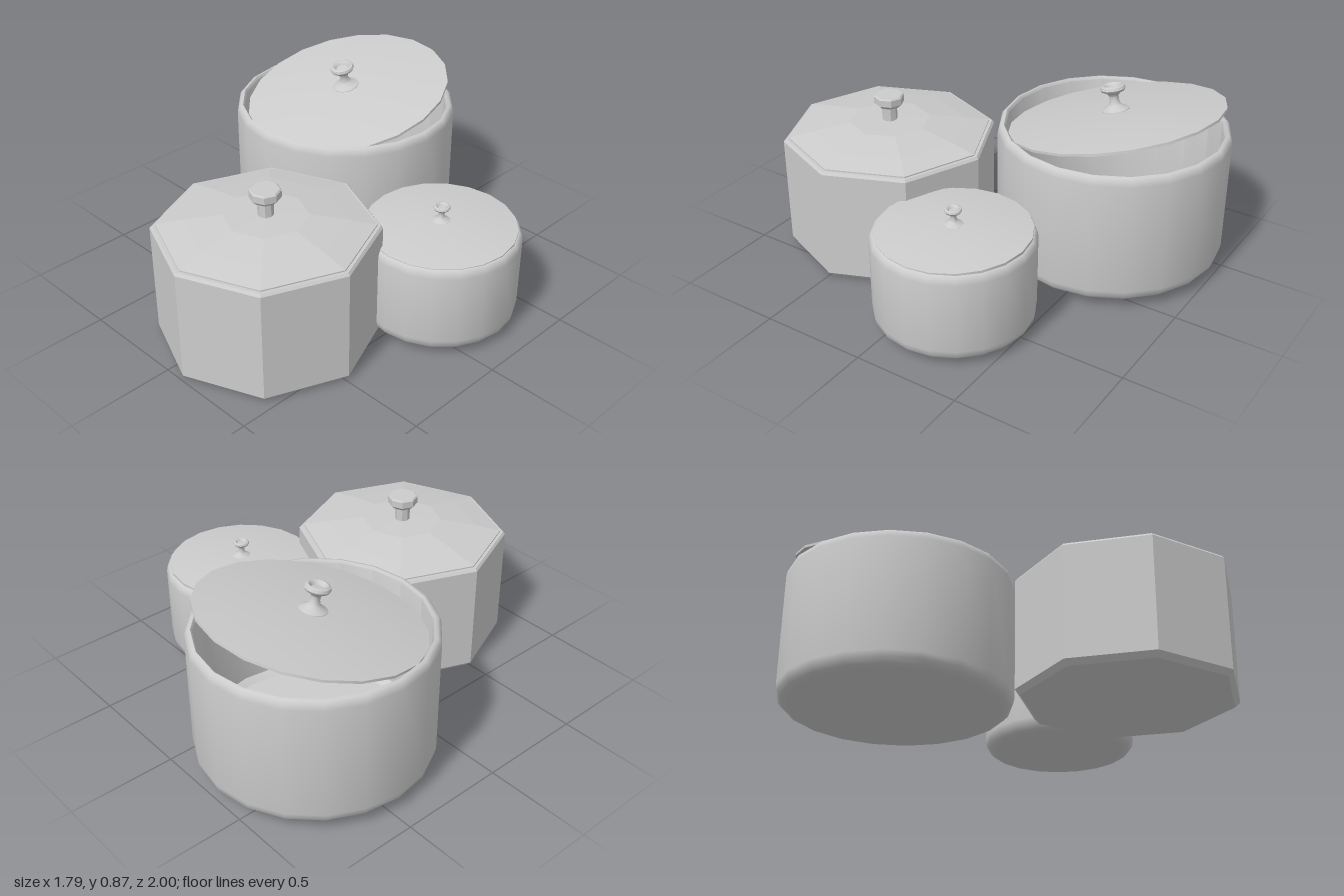
import * as THREE from 'three';
import { toCreasedNormals } from 'three/addons/utils/BufferGeometryUtils.js';

const smooth = new THREE.MeshStandardMaterial({ color: 0xcccccc });
const faceted = new THREE.MeshStandardMaterial({ color: 0xcccccc, flatShading: true });

// Turned part from [radius, height] pairs; sides = 8 gives the faceted style
function turned(name, profile, sides) {
  const points = profile.map(([r, y]) => new THREE.Vector2(r, y));
  let geometry = new THREE.LatheGeometry(points, sides);
  if (sides > 8) geometry = toCreasedNormals(geometry, 0.65);
  const mesh = new THREE.Mesh(geometry, sides > 8 ? smooth : faceted);
  mesh.name = name;
  return mesh;
}

// Hollow round pot with softened bottom and rim
function roundPot(name, r, y0, y1, wall) {
  return turned(name, [
    [0, y0], [r - 0.055, y0], [r - 0.025, y0 + 0.01], [r - 0.006, y0 + 0.03], [r, y0 + 0.06],
    [r, y1 - 0.04], [r - 0.005, y1 - 0.015], [r - 0.016, y1 - 0.003], [r - 0.028, y1],
    [r - wall, y1 - 0.012], [r - wall, y0 + 0.06], [r - wall - 0.03, y0 + 0.035], [0, y0 + 0.035],
  ], 20);
}

// Thin domed lid, rim at local y = 0
function domedLid(name, r, rise) {
  const outer = [], inner = [];
  for (let i = 0; i <= 6; i++) {
    const t = i / 6;
    outer.push([r * (1 - t), 0.008 + rise * (1 - (1 - t) ** 2)]);
    inner.push([r * t, rise * (1 - t * t) - 0.004]);
  }
  return turned(name, [...inner, ...outer], 20);
}

// Flared knob with a dimpled top; base at local y = 0
function flaredKnob(name, s) {
  return turned(name, [
    [0.066, -0.01], [0.064, 0.006], [0.045, 0.016], [0.027, 0.03], [0.021, 0.05], [0.022, 0.07],
    [0.034, 0.085], [0.053, 0.094], [0.059, 0.104], [0.055, 0.116], [0.043, 0.121],
    [0.034, 0.115], [0.028, 0.104], [0, 0.102],
  ].map(([r, y]) => [r * s, y * s]), 16);
}

function tiltedLid(name, r, rise, knobScale, position, normal) {
  const group = new THREE.Group();
  group.name = name;
  const knob = flaredKnob(name + 'Knob', knobScale);
  knob.position.y = rise + 0.004;
  group.add(domedLid(name + 'Dome', r, rise), knob);
  group.position.set(...position);
  group.quaternion.setFromUnitVectors(
    new THREE.Vector3(0, 1, 0), new THREE.Vector3(...normal).normalize());
  return group;
}

export function createModel() {
  const model = new THREE.Group();
  model.name = 'potSet';

  // Large round pot, its lid resting askew
  const large = roundPot('largePot', 0.54, 0.035, 0.673, 0.037);
  large.position.set(-0.358, 0, -0.465);
  model.add(large, tiltedLid('largeLid', 0.505, 0.03, 1, [-0.355, 0.705, -0.475], [-0.05, 1, 0.23]));

  // Small round pot with its lid almost level
  const small = roundPot('smallPot', 0.365, 0.02, 0.453, 0.03);
  small.position.set(0.53, 0, -0.175);
  model.add(small, tiltedLid('smallLid', 0.346, 0.025, 0.66, [0.528, 0.452, -0.175], [0.01, 1, 0.015]));

  // Eight-sided pot
  const octagon = new THREE.Group();
  octagon.name = 'octagonPot';
  octagon.position.set(0.1, 0, 0.49);
  octagon.add(
    turned('octagonBody', [
      [0, 0], [0.48, 0], [0.505, 0.025], [0.505, 0.55], [0.495, 0.562],
      [0.465, 0.562], [0.465, 0.04], [0, 0.04],
    ], 8),
    turned('octagonLid', [
      [0, 0.55], [0.48, 0.55], [0.48, 0.568], [0.36, 0.592], [0.19, 0.62], [0, 0.623],
    ], 8),
    turned('octagonKnob', [
      [0.036, 0.61], [0.036, 0.69], [0.052, 0.692], [0.071, 0.71], [0.071, 0.742], [0.064, 0.749], [0, 0.749],
    ], 8),
  );
  model.add(octagon);
  return model;
}
